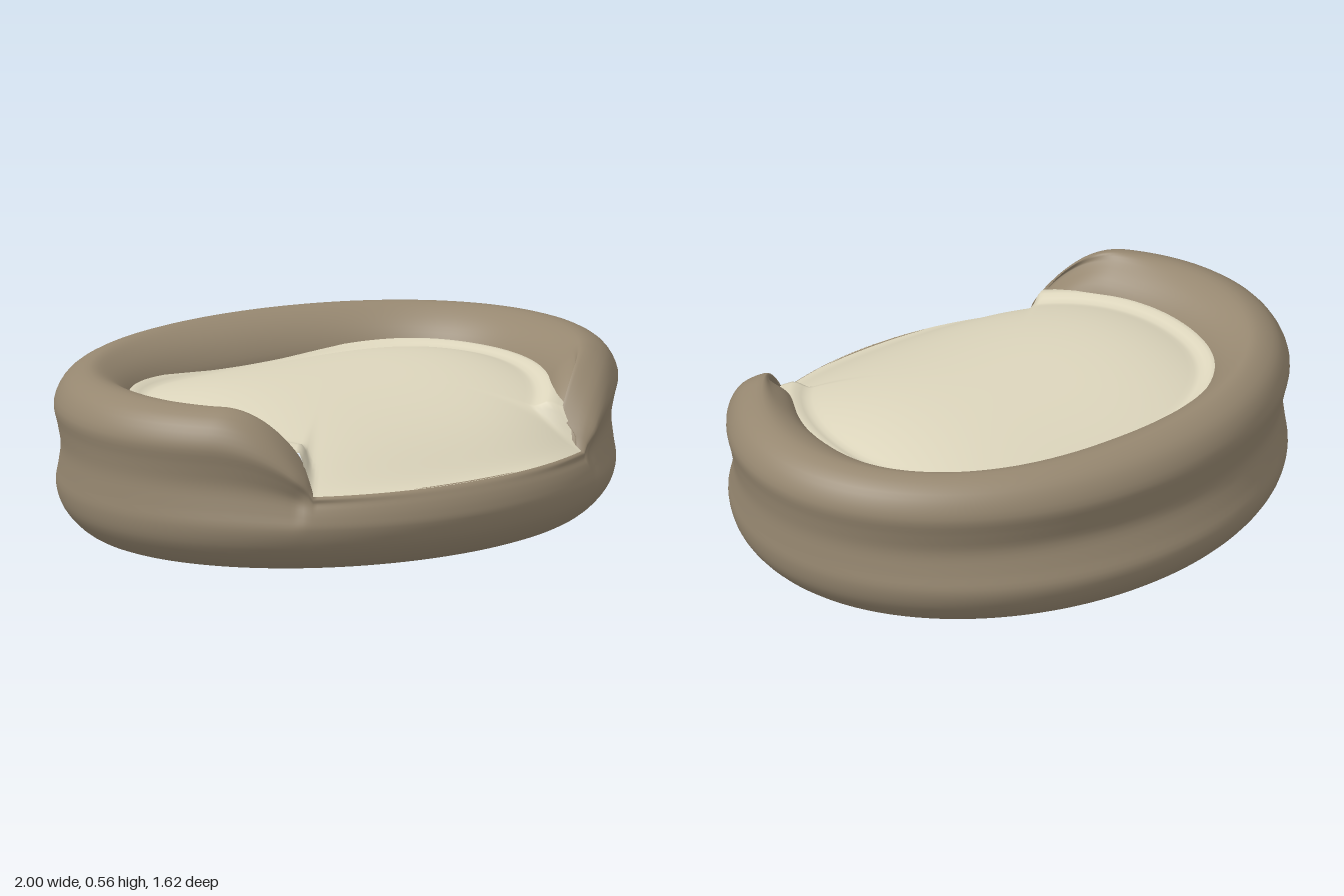
import * as THREE from 'three';

const AROUND = 360;
const { smoothstep, lerp, clamp } = THREE.MathUtils;

// Radius of a (super)ellipse with half-axes a (x) and b (z); angle 0 points to the front
const oval = (angle, a, b, n = 2) =>
  (Math.abs(Math.sin(angle) / a) ** n + Math.abs(Math.cos(angle) / b) ** n) ** (-1 / n);

// How far the bolster has risen (height) and closed in (reach) at an angle; zero at the front opening
function bolsterAt(angle) {
  const degrees = THREE.MathUtils.radToDeg(Math.min(angle, 2 * Math.PI - angle));
  const rise = clamp((degrees - 41) / 22, 0, 1);
  return { height: Math.sin(rise * Math.PI / 2) ** 0.7, reach: smoothstep(degrees, 41, 45) };
}

// Inner edge of the bolster: round toward the front, squarer and closer at the back
const innerEdge = (angle) =>
  Math.cos(angle) > 0 ? 0.7 : oval(angle, 0.7, 0.495, 2.4);

const frontRim = (angle) => oval(angle, 0.97, 0.755);

// Skin a ring of profiles; profileAt(angle) returns [radius, height] pairs
function loft(profileAt) {
  const positions = [], indices = [];
  let rows = 0;
  for (let i = 0; i < AROUND; i++) {
    const angle = (i / AROUND) * Math.PI * 2;
    const profile = profileAt(angle);
    rows = profile.length;
    for (const [r, y] of profile) positions.push(r * Math.sin(angle), y, r * Math.cos(angle));
  }
  for (let i = 0; i < AROUND; i++) {
    const next = (i + 1) % AROUND;
    for (let j = 0; j < rows - 1; j++) {
      const a = i * rows + j, b = next * rows + j;
      indices.push(a, b, b + 1, a, b + 1, a + 1);
    }
  }
  const geometry = new THREE.BufferGeometry();
  geometry.setAttribute('position', new THREE.Float32BufferAttribute(positions, 3));
  geometry.setIndex(indices);
  geometry.computeVertexNormals();
  return geometry;
}

// Base, lower roll and bolster in one padded skin
function shellProfile(angle) {
  const { height, reach } = bolsterAt(angle);
  const low = oval(angle, 0.98, 0.81);
  const up = oval(angle, 1.0, 0.785);
  const waist = oval(angle, 0.978, 0.76);
  const inner = innerEdge(angle);
  const rim = frontRim(angle);
  const base = [
    [0, 0.004], [low * 0.5, 0.003], [low - 0.16, 0.008], [low - 0.09, 0.03],
    [low - 0.022, 0.1], [low, 0.17],
  ];
  const raised = [
    [(low + waist) / 2, 0.235], [waist, 0.31], [up - 0.012, 0.38], [up, 0.45],
    [up - 0.04, 0.525], [up - 0.12, 0.56], [inner + 0.09, 0.535],
    [inner + 0.03, 0.48], [inner, 0.41], [inner + 0.03, 0.33], [inner + 0.06, 0.25],
  ];
  const open = [
    [low - 0.006, 0.205], [low - 0.018, 0.235], [low - 0.03, 0.255], [rim + 0.014, 0.27],
    [rim, 0.278], [rim - 0.01, 0.278], [rim - 0.02, 0.275],
    [rim - 0.03, 0.27], [rim - 0.04, 0.265], [rim - 0.05, 0.26], [rim - 0.06, 0.25],
  ];
  const upper = raised.map(([r, y], k) => [lerp(open[k][0], r, reach), lerp(open[k][1], y, height)]);
  const points = [...base, ...upper].map(([r, y]) => new THREE.Vector3(r, y, 0));
  return new THREE.CatmullRomCurve3(points).getPoints(64).map((p) => [Math.max(p.x, 0), Math.max(p.y, 0)]);
}

// Domed cushion: rolls down to the rim at the front, lips up against the bolster elsewhere
function cushionProfile(angle) {
  const { reach } = bolsterAt(angle);
  const edge = lerp(frontRim(angle) + 0.004, innerEdge(angle) + 0.06, reach);
  const profile = [];
  for (let k = 40; k >= 0; k--) {
    const t = k / 40, r = edge * t;
    const x = r * Math.sin(angle), z = r * Math.cos(angle);
    const dome = 0.51 - 0.23 * (z / 0.755) ** 2 - 0.1 * (x / 0.75) ** 4;
    const closed = dome + 0.04 * smoothstep(t, 0.86, 0.95);
    const open = lerp(dome, 0.277, t ** 10);
    profile.push([r, lerp(open, closed, reach)]);
  }
  return profile;
}

export function createModel() {
  const group = new THREE.Group();
  group.name = 'petBed';
  const add = (name, geometry, color) => {
    const mesh = new THREE.Mesh(geometry, new THREE.MeshStandardMaterial({ color }));
    mesh.name = name;
    group.add(mesh);
  };
  add('bolsterShell', loft(shellProfile), 0x968770);
  add('cushion', loft(cushionProfile), 0xdcd5bc);
  return group;
}
